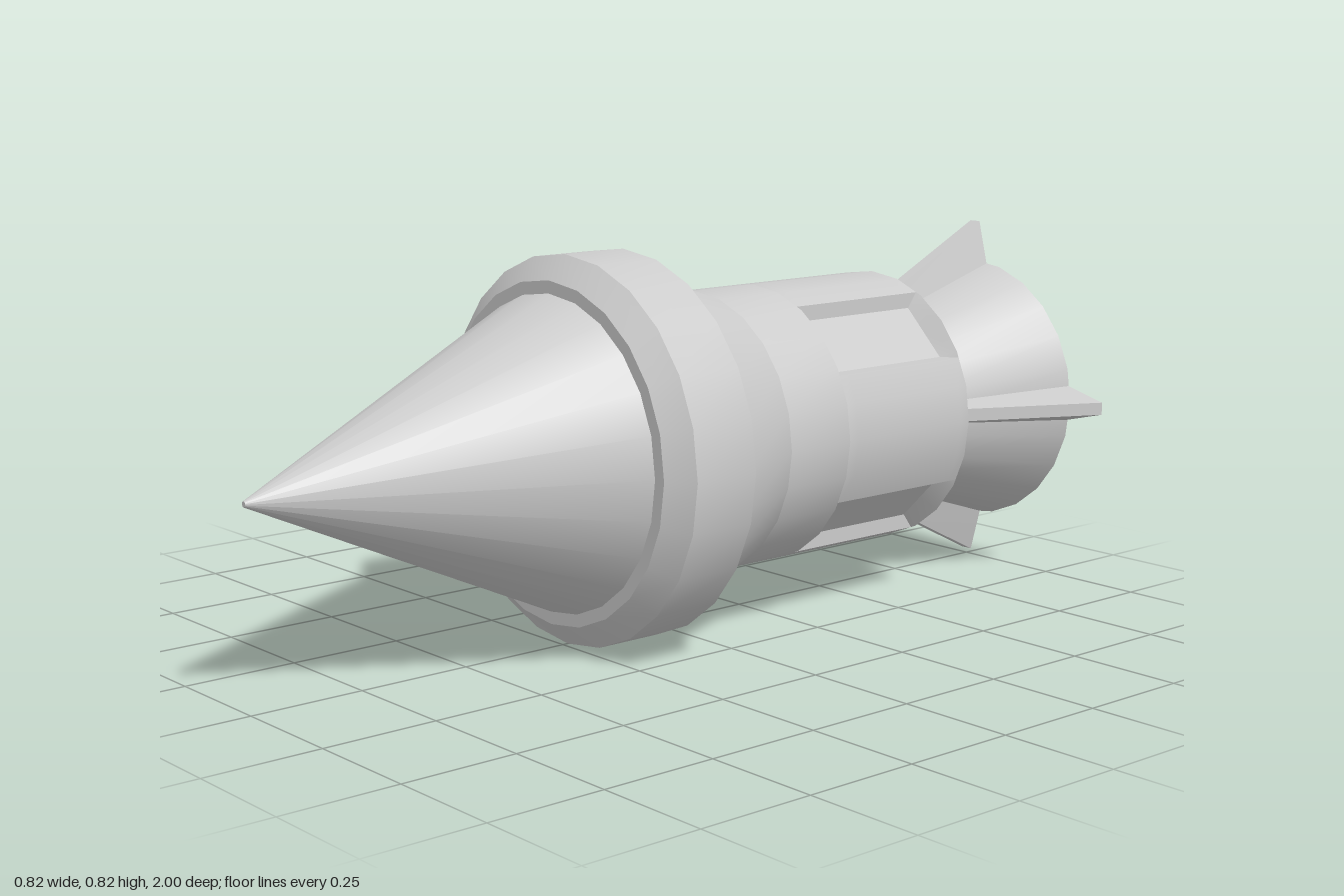
import * as THREE from 'three';
import { toCreasedNormals } from 'three/addons/utils/BufferGeometryUtils.js';

const SIDES = 24;
const BODY_R = 0.305;
const material = new THREE.MeshStandardMaterial({ color: 0xcccccc });

function part(name, geometry) {
  const mesh = new THREE.Mesh(geometry, material);
  mesh.name = name;
  return mesh;
}

// Turned part from [radius, z] pairs, axis along z
function turned(name, profile) {
  const points = profile.map(([r, z]) => new THREE.Vector2(r, z));
  const geometry = new THREE.LatheGeometry(points, SIDES).rotateX(Math.PI / 2);
  geometry.deleteAttribute('uv');
  return part(name, toCreasedNormals(geometry, 0.3));
}

// Point on the 24-sided body outline at an angle in degrees
function outline(deg) {
  const step = 360 / SIDES;
  const i = Math.floor(deg / step);
  const corner = (k) => {
    const a = THREE.MathUtils.degToRad(k * step);
    return new THREE.Vector2(Math.cos(a) * BODY_R, Math.sin(a) * BODY_R);
  };
  return corner(i).lerp(corner(i + 1), deg / step - i);
}

// Body section with four sunken, bevelled panels on the diagonals
function panelSection(zBack, zFront) {
  const bevel = 0.025, floorR = 0.265, floorHalf = 0.07;
  const offsets = [27, 30, 45, 60, 63, 75, 90, 105];
  const rings = [zBack, zBack + bevel, zFront - bevel, zFront];
  const count = offsets.length * 4;
  const isPit = (i, j) => (j === 1 || j === 2) && [1, 2, 3].includes(i % offsets.length);
  const positions = [], index = [];
  rings.forEach((z, j) => {
    for (let i = 0; i < count; i++) {
      const k = i % offsets.length;
      const quarter = Math.floor(i / offsets.length);
      let p = outline(offsets[k] + quarter * 90);
      if (isPit(i, j)) {
        p = new THREE.Vector2(floorR, (k - 2) * floorHalf)
          .rotateAround(new THREE.Vector2(), Math.PI / 4 + quarter * Math.PI / 2);
      }
      positions.push(p.x, p.y, z);
    }
  });
  for (let j = 0; j < 3; j++) {
    for (let i = 0; i < count; i++) {
      const n = (i + 1) % count;
      const a = j * count + i, b = j * count + n;
      const c = b + count, d = a + count;
      // Run the diagonal through the sunken corner
      if (isPit(i, j) || isPit(n, j + 1)) index.push(a, b, c, a, c, d);
      else index.push(a, b, d, b, c, d);
    }
  }
  const geometry = new THREE.BufferGeometry();
  geometry.setAttribute('position', new THREE.Float32BufferAttribute(positions, 3));
  geometry.setIndex(index);
  return part('panelSection', toCreasedNormals(geometry, 0.3));
}

// Wedge fin, thick at its root and flaring out towards the back
function finGeometry() {
  const geometry = new THREE.BoxGeometry(1, 1, 1);
  const pos = geometry.attributes.position;
  for (let i = 0; i < pos.count; i++) {
    const outer = pos.getY(i) > 0;
    const back = pos.getZ(i) < 0;
    const half = outer ? 0.014 : back ? 0.042 : 0.026;
    const r = outer ? (back ? 0.398 : 0.24) : (back ? 0.29 : 0.19);
    pos.setXYZ(i, Math.sign(pos.getX(i)) * half, r, back ? -1 : -0.68);
  }
  geometry.computeVertexNormals();
  return geometry;
}

export function createModel() {
  const group = new THREE.Group();
  group.name = 'rocket';
  group.position.y = 0.41;

  // Hollow nozzle bell and chamfered rear of the body
  group.add(turned('nozzle', [[0, -0.67], [0.17, -0.67], [0.26, -1], [0.305, -1], [0.2, -0.68]]));
  group.add(turned('rearPlate', [[0.19, -0.68], [0.28, -0.68], [BODY_R, -0.655]]));
  group.add(panelSection(-0.655, -0.285));

  // Plain body, shoulder and collar
  group.add(turned('body', [[BODY_R, -0.285], [BODY_R, -0.115], [0.36, 0.045]]));
  group.add(turned('collar', [
    [0.36, 0.045], [0.41, 0.083], [0.41, 0.237], [0.36, 0.28], [0.333, 0.28],
  ]));
  group.add(turned('noseCone', [[0.333, 0.28], [0.006, 1], [0, 1]]));

  // Four fins around the nozzle
  const fin = finGeometry();
  for (let i = 0; i < 4; i++) {
    const mesh = part('fin', fin);
    mesh.rotation.z = i * Math.PI / 2;
    group.add(mesh);
  }

  const model = new THREE.Group();
  model.add(group);
  return model;
}
